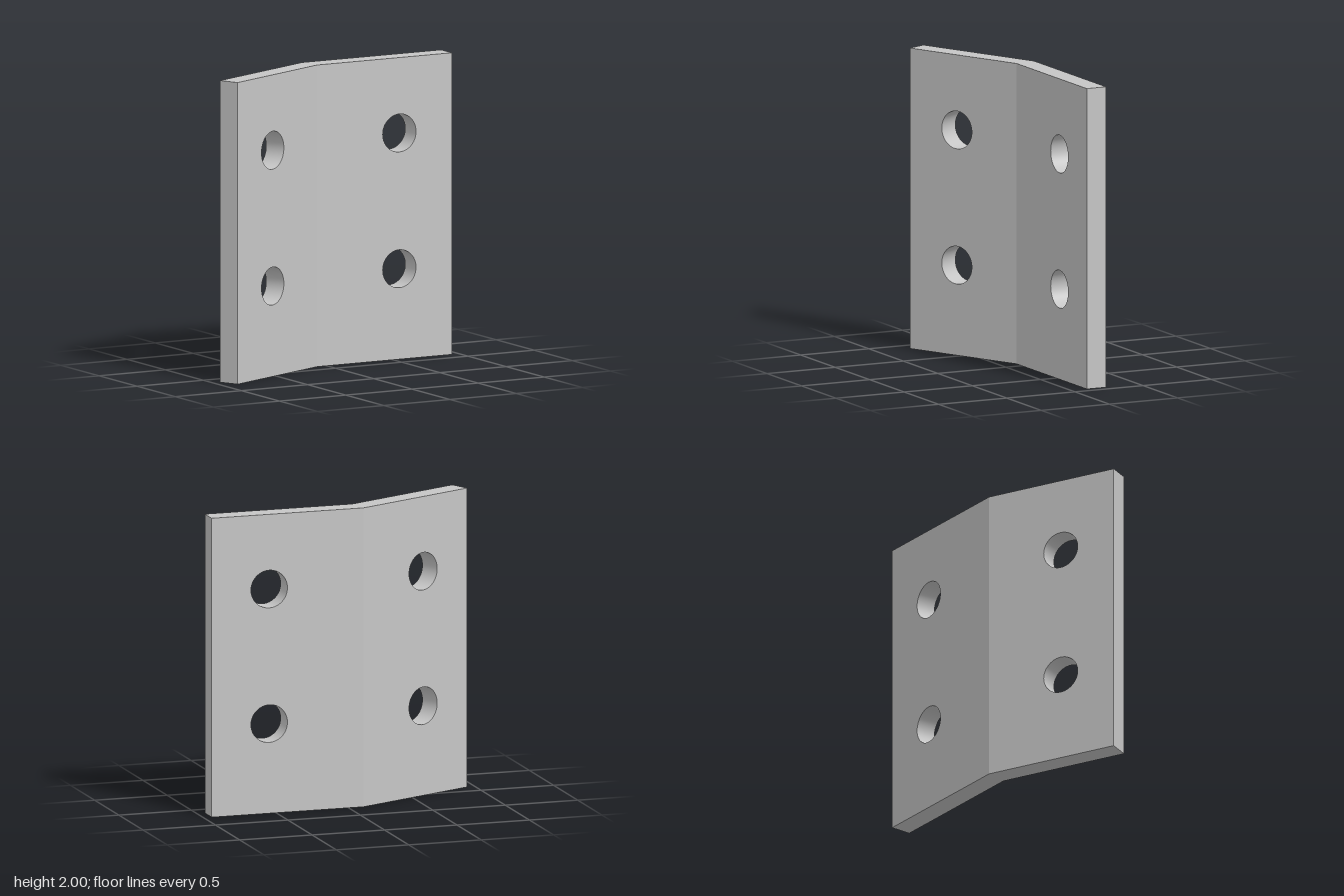
import * as THREE from 'three';
import { toCreasedNormals } from 'three/addons/utils/BufferGeometryUtils.js';

const HEIGHT = 2, THICK = 0.142, BEND = THREE.MathUtils.degToRad(24.5);
const MITRE = THICK * Math.tan(BEND / 2);

// One half of the bent plate: side is +1 or -1, x = 0 is the front bend line
function plateGeometry(side, length, holeX) {
  const left = Math.min(0, side * length), right = Math.max(0, side * length);
  const shape = new THREE.Shape();
  shape.moveTo(left, 0);
  shape.lineTo(right, 0);
  shape.lineTo(right, HEIGHT);
  shape.lineTo(left, HEIGHT);
  shape.closePath();
  for (const y of [0.6, 1.5]) {
    const hole = new THREE.Path();
    hole.absarc(side * holeX, y, 0.126, 0, Math.PI * 2, true);
    shape.holes.push(hole);
  }
  const extruded = new THREE.ExtrudeGeometry(shape, { depth: THICK, bevelEnabled: false, curveSegments: 24 });
  extruded.translate(0, 0, -THICK);

  // Drop the wall hidden in the joint and mitre the back edge at the bend
  const src = extruded.attributes.position;
  const points = [];
  for (let i = 0; i < src.count; i += 3) {
    const tri = [0, 1, 2].map(k => new THREE.Vector3().fromBufferAttribute(src, i + k));
    if (tri.every(p => Math.abs(p.x) < 1e-6)) continue;
    for (const p of tri) {
      if (Math.abs(p.x) < 1e-6 && p.z < -THICK / 2) p.x = -side * MITRE;
      points.push(p);
    }
  }
  const geometry = new THREE.BufferGeometry().setFromPoints(points);
  return toCreasedNormals(geometry, 0.35);
}

export function createModel() {
  const model = new THREE.Group();
  model.name = 'bentPlate';
  const steel = new THREE.MeshStandardMaterial({ color: 0xc6c6c6 });
  steel.name = 'lightGreySteel';

  // Straight half on +x, angled half on -x, sharing the bend line
  const parts = [
    ['straightPlate', 1, 1.018, 0.621, 0],
    ['angledPlate', -1, 0.895, 0.501, BEND],
  ];
  for (const [name, side, length, holeX, angle] of parts) {
    const plate = new THREE.Mesh(plateGeometry(side, length, holeX), steel);
    plate.name = name;
    plate.position.set(-0.073, 0, -0.115);
    plate.rotation.y = angle;
    model.add(plate);
  }
  return model;
}
